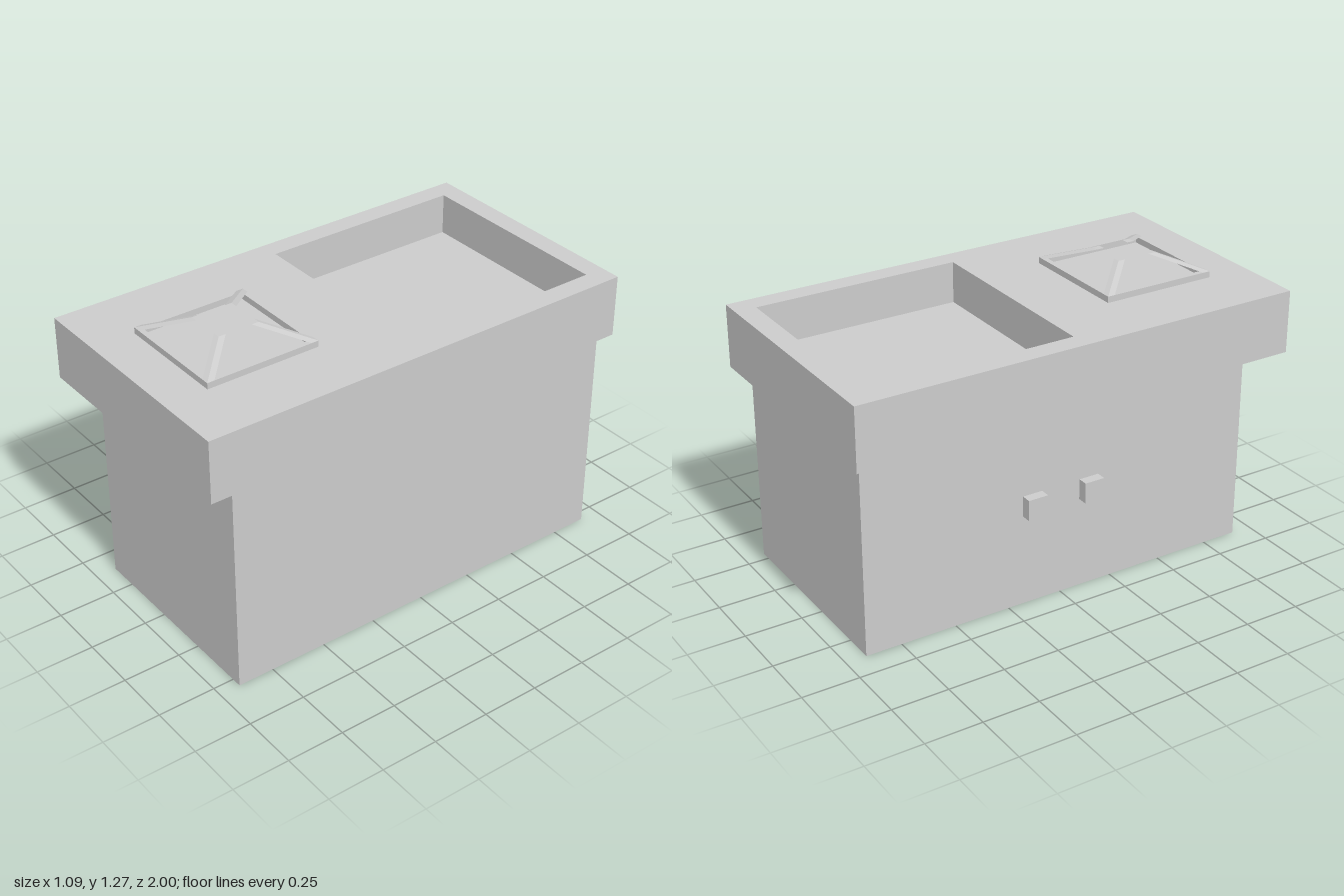
import * as THREE from 'three';

const material = new THREE.MeshStandardMaterial({ color: 0xcccccc, flatShading: true });

function add(parent, name, geometry) {
  const mesh = new THREE.Mesh(geometry, material);
  mesh.name = name;
  parent.add(mesh);
  return mesh;
}

// Box given by its lower and upper bounds
function boxBetween([x0, y0, z0], [x1, y1, z1]) {
  return new THREE.BoxGeometry(x1 - x0, y1 - y0, z1 - z0)
    .translate((x0 + x1) / 2, (y0 + y1) / 2, (z0 + z1) / 2);
}

// Rectangular ring lying flat: outer and inner are [x0, z0, x1, z1]
function flatRing(outer, inner, y0, y1) {
  // Counter-clockwise, so the extrusion turns the opening's walls inward
  const trace = (path, [x0, z0, x1, z1]) => {
    path.moveTo(x0, -z1);
    path.lineTo(x1, -z1);
    path.lineTo(x1, -z0);
    path.lineTo(x0, -z0);
    path.closePath();
    return path;
  };
  const shape = trace(new THREE.Shape(), outer);
  shape.holes.push(trace(new THREE.Path(), inner));
  return new THREE.ExtrudeGeometry(shape, { depth: y1 - y0, bevelEnabled: false })
    .rotateX(-Math.PI / 2).translate(0, y0, 0);
}

export function createModel() {
  const model = new THREE.Group();
  model.name = 'kitchenCounter';

  // Cabinet, flush with the worktop on the +x side
  add(model, 'cabinet', boxBetween([-0.383, 0, -0.909], [0.545, 0.909, 0.909]));

  // Worktop slab with the basin opening, and the basin floor
  add(model, 'worktop', flatRing([-0.545, -1, 0.545, 1], [-0.455, -0.909, 0.455, 0], 0.909, 1.182));
  add(model, 'basinFloor', boxBetween([-0.455, 0.909, -0.909], [0.455, 1.0, 0]));

  // Pair of handles on the -x side
  for (const s of [-1, 1]) {
    const handle = add(model, s < 0 ? 'backHandle' : 'frontHandle',
      new THREE.BoxGeometry(0.044, 0.091, 0.091));
    handle.position.set(-0.405, 0.4545, s * 0.136);
  }

  // Burner grate: square frame with four prongs leaning in from the corners
  const grate = new THREE.Group();
  grate.name = 'burnerGrate';
  grate.position.set(0, 1.182, 0.556);
  model.add(grate);
  const r = 0.2545, frameBar = 0.023, frameHeight = 0.027;
  const prongBar = 0.032, rise = 0.064, lean = 0.163;
  const q = r - frameBar;
  add(grate, 'grateFrame', flatRing([-r, -r, r, r], [-q, -q, q, q], 0, frameHeight));

  for (const sx of [-1, 1]) for (const sz of [-1, 1]) {
    // Square bar sheared toward the middle
    const prong = new THREE.BoxGeometry(prongBar, rise, prongBar);
    const p = prong.attributes.position;
    for (let i = 0; i < p.count; i++) {
      const t = p.getY(i) > 0 ? 1 : 0;
      const offset = r - prongBar / 2 - t * lean;
      p.setXYZ(i, p.getX(i) + sx * offset, frameHeight + t * rise, p.getZ(i) + sz * offset);
    }
    prong.computeVertexNormals();
    add(grate, 'grateProng', prong);
  }
  return model;
}
